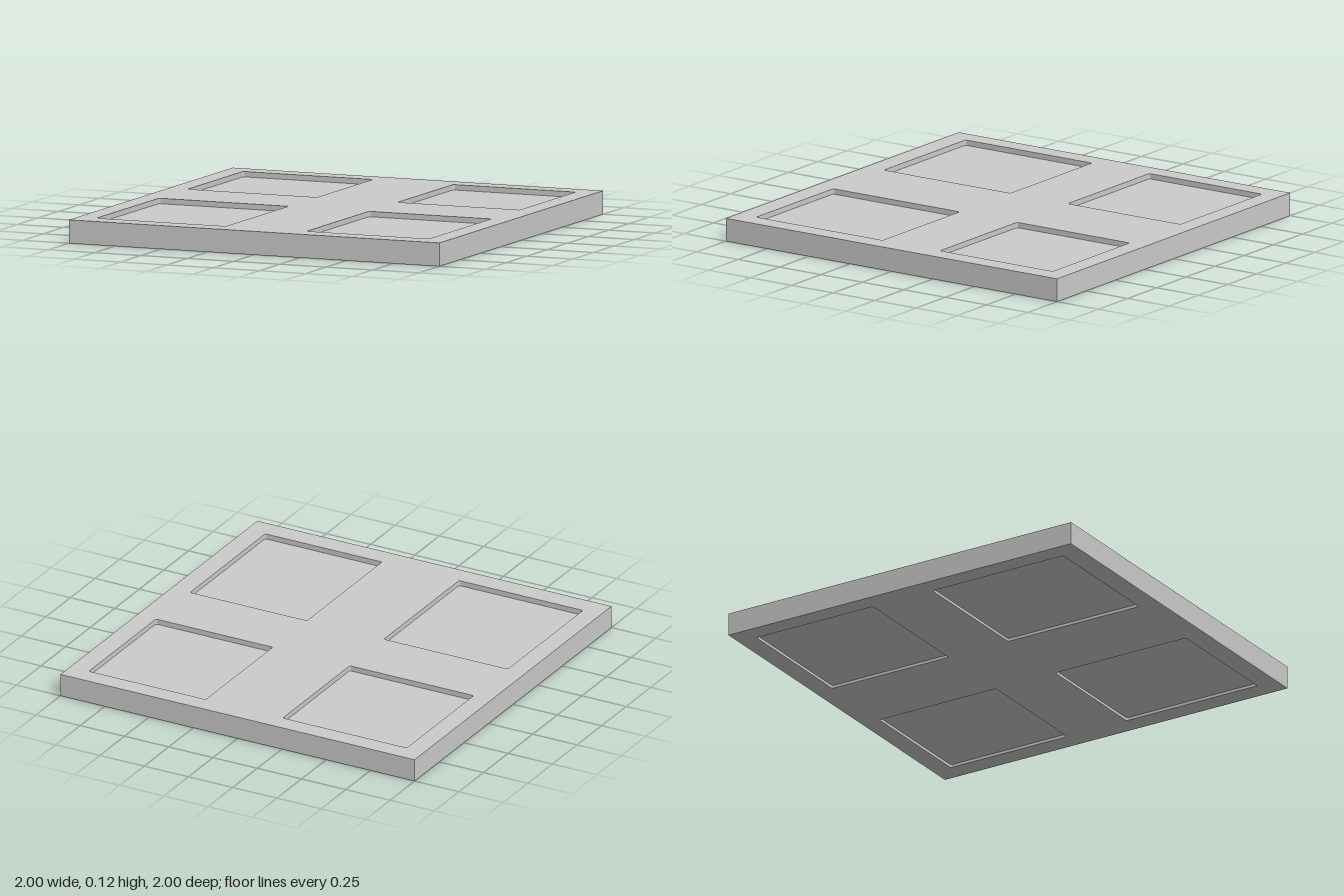
import * as THREE from 'three';

const HEIGHT = 0.117;
const PANE_BOTTOM = 0.015;
const PANE_TOP = 0.09;
const CORNER = 0.01;

// Openings in plan: [min, max] along x and along z
const COLUMNS = [[-0.9, -0.2], [0.235, 0.895]];
const ROWS = [[-0.9, -0.22], [0.127, 0.89]];

// Rectangle with slightly rounded corners
function roundedOpening([x0, x1], [z0, z1], r) {
  const path = new THREE.Path();
  path.absarc(x1 - r, z1 - r, r, 0, Math.PI / 2);
  path.absarc(x0 + r, z1 - r, r, Math.PI / 2, Math.PI);
  path.absarc(x0 + r, z0 + r, r, Math.PI, Math.PI * 1.5);
  path.absarc(x1 - r, z0 + r, r, Math.PI * 1.5, Math.PI * 2);
  path.closePath();
  return path;
}

export function createModel() {
  const group = new THREE.Group();
  group.name = 'windowPanel';
  const material = new THREE.MeshStandardMaterial({ color: 0xcccccc });

  const outline = new THREE.Shape([
    new THREE.Vector2(-1, -1), new THREE.Vector2(1, -1),
    new THREE.Vector2(1, 1), new THREE.Vector2(-1, 1),
  ]);

  for (const column of COLUMNS) {
    for (const row of ROWS) {
      outline.holes.push(roundedOpening(column, row, CORNER));

      // Recessed pane, its edges tucked into the frame
      const pane = new THREE.Mesh(
        new THREE.BoxGeometry(
          column[1] - column[0] + 0.01, PANE_TOP - PANE_BOTTOM, row[1] - row[0] + 0.01),
        material);
      pane.position.set(
        (column[0] + column[1]) / 2, (PANE_TOP + PANE_BOTTOM) / 2, (row[0] + row[1]) / 2);
      pane.name = 'pane';
      group.add(pane);
    }
  }

  // Square frame lying flat, with four openings
  const frameGeometry = new THREE.ExtrudeGeometry(outline, {
    depth: HEIGHT, bevelEnabled: false, curveSegments: 4,
  });
  frameGeometry.rotateX(Math.PI / 2).translate(0, HEIGHT, 0);
  const frame = new THREE.Mesh(frameGeometry, material);
  frame.name = 'frame';
  group.add(frame);

  return group;
}
